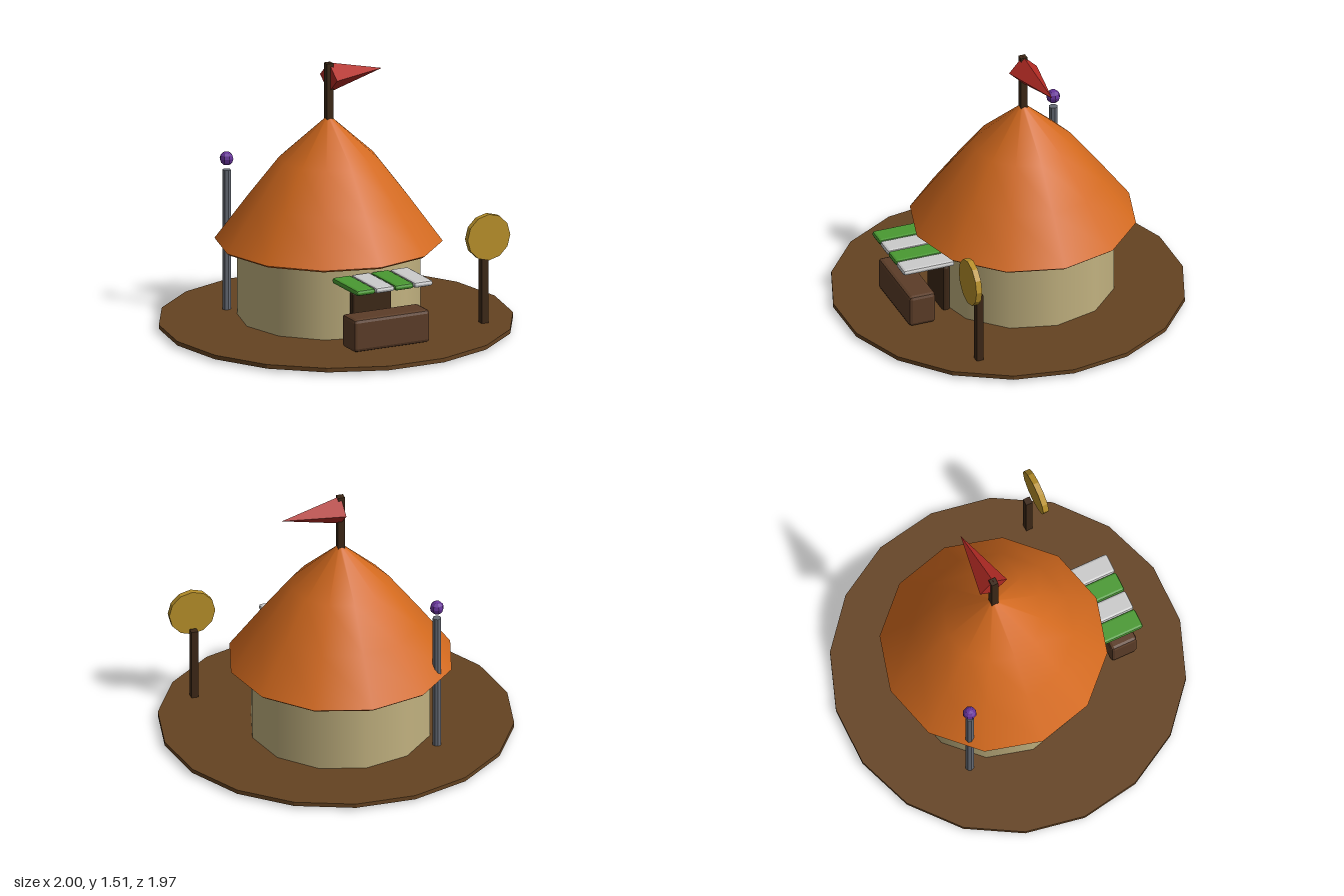
import * as THREE from 'three';
import { RoundedBoxGeometry } from 'three/addons/geometries/RoundedBoxGeometry.js';

const mat = (color, flatShading = true, side = THREE.FrontSide) =>
  new THREE.MeshStandardMaterial({ color, flatShading, side });

const BROWN = 0x654321, DARK = 0x3d2817, SAND = 0xc2b280, ORANGE = 0xd2691e;
const HUT_Z = -0.09;

export function createModel() {
  const model = new THREE.Group();
  model.name = 'marketHut';

  const add = (name, geometry, material, x = 0, y = 0, z = 0) => {
    const mesh = new THREE.Mesh(geometry, material);
    mesh.name = name;
    mesh.position.set(x, y, z);
    model.add(mesh);
    return mesh;
  };
  const box = (w, h, d) => new THREE.BoxGeometry(w, h, d);
  const chamferBox = (w, h, d, r) => new RoundedBoxGeometry(w, h, d, 1, r);
  const lathe = (pts, sides, start = 0) => new THREE.LatheGeometry(
    pts.map(([x, y]) => new THREE.Vector2(x, y)), sides, start);

  // Ground plate with a slightly dished underside
  add('groundPlate', lathe([[0, 0.004], [1, 0.014], [1, 0.038], [0, 0.038]], 18, Math.PI / 2), mat(BROWN));

  // Round wall and the small floor patch under it
  add('wall', new THREE.CylinderGeometry(0.515, 0.515, 0.45, 12, 1, true),
    mat(SAND, false, THREE.DoubleSide), 0, 0.255, HUT_Z);
  add('floor', lathe([[0, 0], [0.065, 0.001], [0.065, 0.02]], 12), mat(SAND), 0, 0, HUT_Z);

  // Bell-shaped roof, rim and closed underside
  add('roof', lathe([[0.64, 0.477], [0.455, 0.727], [0.28, 0.953], [0.02, 1.187], [0, 1.195]], 12),
    mat(ORANGE, false), 0, 0, HUT_Z);
  add('roofUnderside', lathe([[0, 0.465], [0.625, 0.465], [0.64, 0.477]], 12), mat(ORANGE), 0, 0, HUT_Z);

  // Flagpole and pyramid pennant
  add('flagpole', box(0.04, 0.335, 0.04), mat(DARK), 0, 1.338, HUT_Z);
  const pennant = new THREE.ConeGeometry(0.088, 0.355, 4);
  pennant.translate(0, 0.1775, 0).rotateZ(-Math.PI / 2).rotateY(0.1);
  add('pennant', pennant, mat(0xb22a24), 0, 1.42, HUT_Z);

  // Door and counter
  add('door', chamferBox(0.25, 0.318, 0.045, 0.016), mat(DARK), 0, 0.161, 0.42);
  add('counter', chamferBox(0.48, 0.19, 0.16, 0.02), mat(0x5c3d28), 0, 0.14, 0.61);

  // Striped awning
  for (let i = 0; i < 4; i++) {
    add('awningSlat' + (i + 1), chamferBox(0.12, 0.034, 0.31, 0.015),
      mat(i % 2 ? 0xc0c0c0 : 0x4a9a32), -0.183 + i * 0.121, 0.4, 0.57);
  }

  // Round sign on a post
  add('signPost', box(0.04, 0.42, 0.04), mat(DARK), 0.695, 0.25, 0.455);
  const disc = new THREE.CylinderGeometry(0.134, 0.134, 0.034, 12).rotateX(Math.PI / 2);
  add('signDisc', disc, mat(0xb8902a), 0.695, 0.553, 0.505);

  // Lantern post with a floating ball
  add('lanternPost', new THREE.CylinderGeometry(0.025, 0.025, 0.82, 8), mat(0x666b75), -0.455, 0.44, -0.455);
  add('lanternBall', new THREE.SphereGeometry(0.04, 8, 6), mat(0x663399), -0.455, 0.915, -0.455);

  return model;
}
